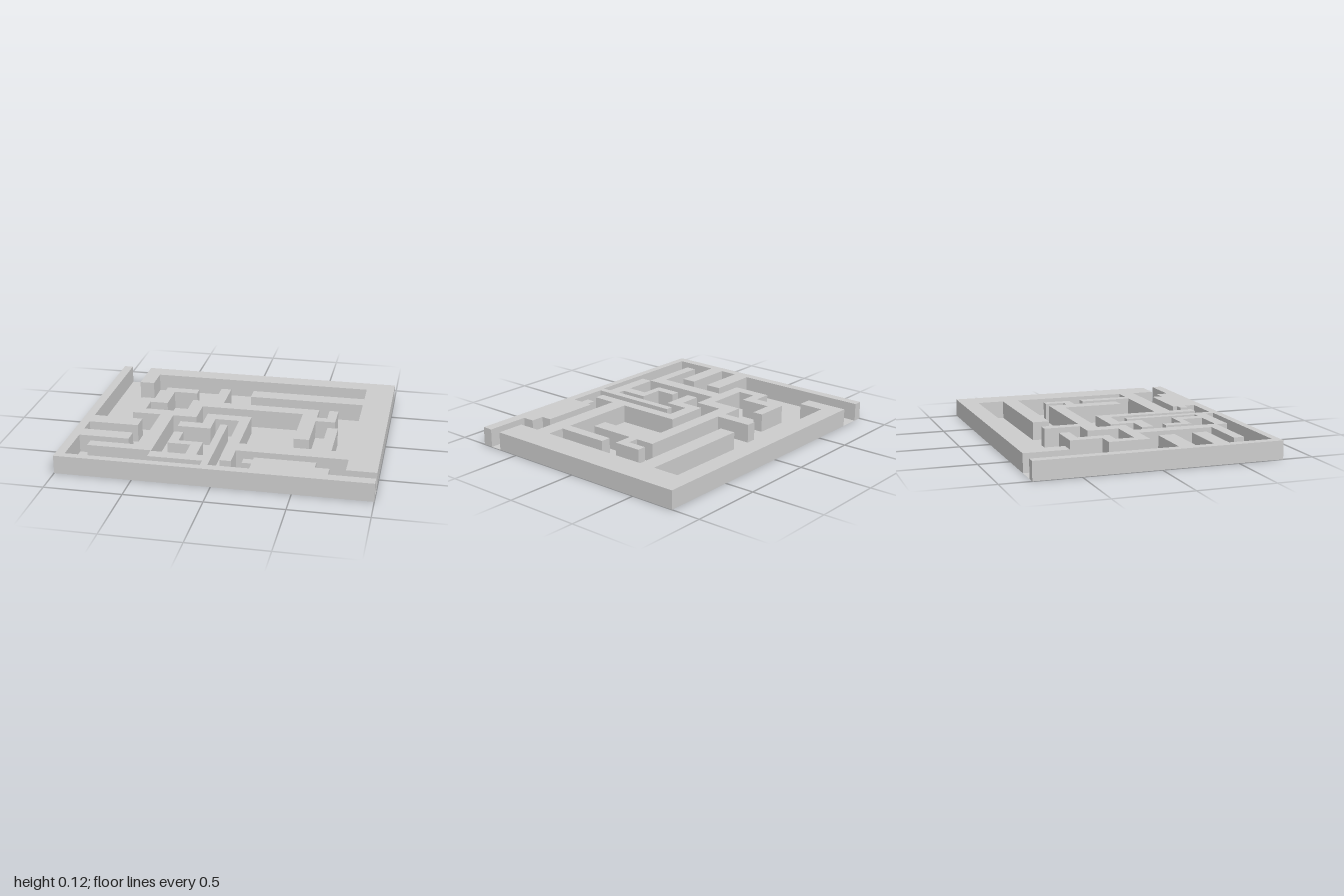
import * as THREE from 'three';

const HEIGHT = 0.12;
const material = new THREE.MeshStandardMaterial({ color: 0xcccccc, flatShading: true, side: THREE.DoubleSide });

// Shape from [x, z] pairs; z is negated so that the later tilt puts it back.
const toShape = (pts) => new THREE.Shape(pts.map(([x, z]) => new THREE.Vector2(x, -z)));

// Upright wall block without an underside.
function wall(name, pts, height) {
  const geo = new THREE.ExtrudeGeometry(toShape(pts), { depth: height, bevelEnabled: false });
  geo.rotateX(-Math.PI / 2);
  const p = geo.attributes.position;
  const kept = [];
  for (let i = 0; i < p.count; i += 3) {
    const top = Math.max(p.getY(i), p.getY(i + 1), p.getY(i + 2));
    if (top > height / 2) kept.push(i, i + 1, i + 2);
  }
  geo.setIndex(kept);
  const mesh = new THREE.Mesh(geo, material);
  mesh.name = name;
  return mesh;
}

// Inner edge of the left and front walls, from the back opening to the right opening
const frameEdge = [
  [-0.94, -0.8], [-0.94, 0.13], [-0.61, 0.13], [-0.61, 0.24], [-0.94, 0.24],
  [-0.94, 0.36], [-0.61, 0.36], [-0.61, 0.46], [-0.94, 0.46], [-0.94, 0.75],
  [-0.075, 0.75], [-0.075, 0.69], [-0.425, 0.69], [-0.425, 0.61], [-0.2, 0.61],
  [-0.2, 0.47], [-0.35, 0.47], [-0.35, 0.29], [-0.29, 0.29], [-0.29, 0.42],
  [-0.13, 0.42], [-0.13, 0.61], [-0.08, 0.61], [-0.08, 0.12], [-0.03, 0.12],
  [-0.03, 0.74], [0.23, 0.74], [0.23, 0.67], [0.17, 0.67], [0.17, 0.61],
  [0.23, 0.61], [0.23, 0.58], [0.62, 0.58], [0.62, 0.65], [0.71, 0.65],
  [0.71, 0.73], [1, 0.73],
];

// Back and right walls with their branches
const backWall = [
  [-0.8, -0.8], [-0.8, -0.51], [-0.7, -0.51], [-0.7, -0.68], [0.81, -0.68],
  [0.81, -0.5], [0.03, -0.5], [0.03, -0.39], [0.81, -0.39], [0.81, 0.39],
  [0.69, 0.39], [0.69, 0.04], [0.62, 0.04], [0.62, 0.39], [0.1, 0.39],
  [0.1, -0.04], [-0.2, -0.04], [-0.2, 0.12], [-0.35, 0.12], [-0.35, 0.2],
  [-0.13, 0.2], [-0.13, 0.04], [0.03, 0.04], [0.03, 0.66], [0.1, 0.66],
  [0.1, 0.5], [0.81, 0.5], [0.81, 0.65], [1, 0.65], [1, -0.8],
];

// Branching wall in the middle
const middleWall = [
  [-0.42, 0.61], [-0.42, 0.04], [-0.26, 0.04], [-0.26, -0.15], [0.43, -0.15],
  [0.43, 0.26], [0.53, 0.26], [0.53, -0.05], [0.66, -0.05], [0.66, -0.24],
  [0.6, -0.24], [0.6, -0.11], [0.53, -0.11], [0.53, -0.24], [-0.13, -0.24],
  [-0.13, -0.49], [-0.2, -0.49], [-0.2, -0.25], [-0.35, -0.25], [-0.35, -0.04],
  [-0.63, -0.04], [-0.63, -0.16], [-0.51, -0.16], [-0.51, -0.37], [-0.35, -0.37],
  [-0.35, -0.44], [-0.58, -0.44], [-0.58, -0.23], [-0.7, -0.23], [-0.7, 0.04],
  [-0.51, 0.04], [-0.51, 0.54], [-0.84, 0.54], [-0.84, 0.61],
];

export function createModel() {
  const maze = new THREE.Group();
  maze.name = 'maze';

  maze.add(
    wall('frontLeftWall', [...frameEdge, [1, 0.8], [-1, 0.8], [-1, -0.8]], HEIGHT),
    wall('backRightWall', backWall, HEIGHT),
    wall('middleWall', middleWall, HEIGHT + 0.003),
  );

  // Thin floor under everything except the hollow front and left walls
  const floor = new THREE.Mesh(
    new THREE.ShapeGeometry(toShape([...frameEdge, [1, -0.8]])).rotateX(-Math.PI / 2),
    material,
  );
  floor.name = 'floor';
  maze.add(floor);

  return maze;
}
